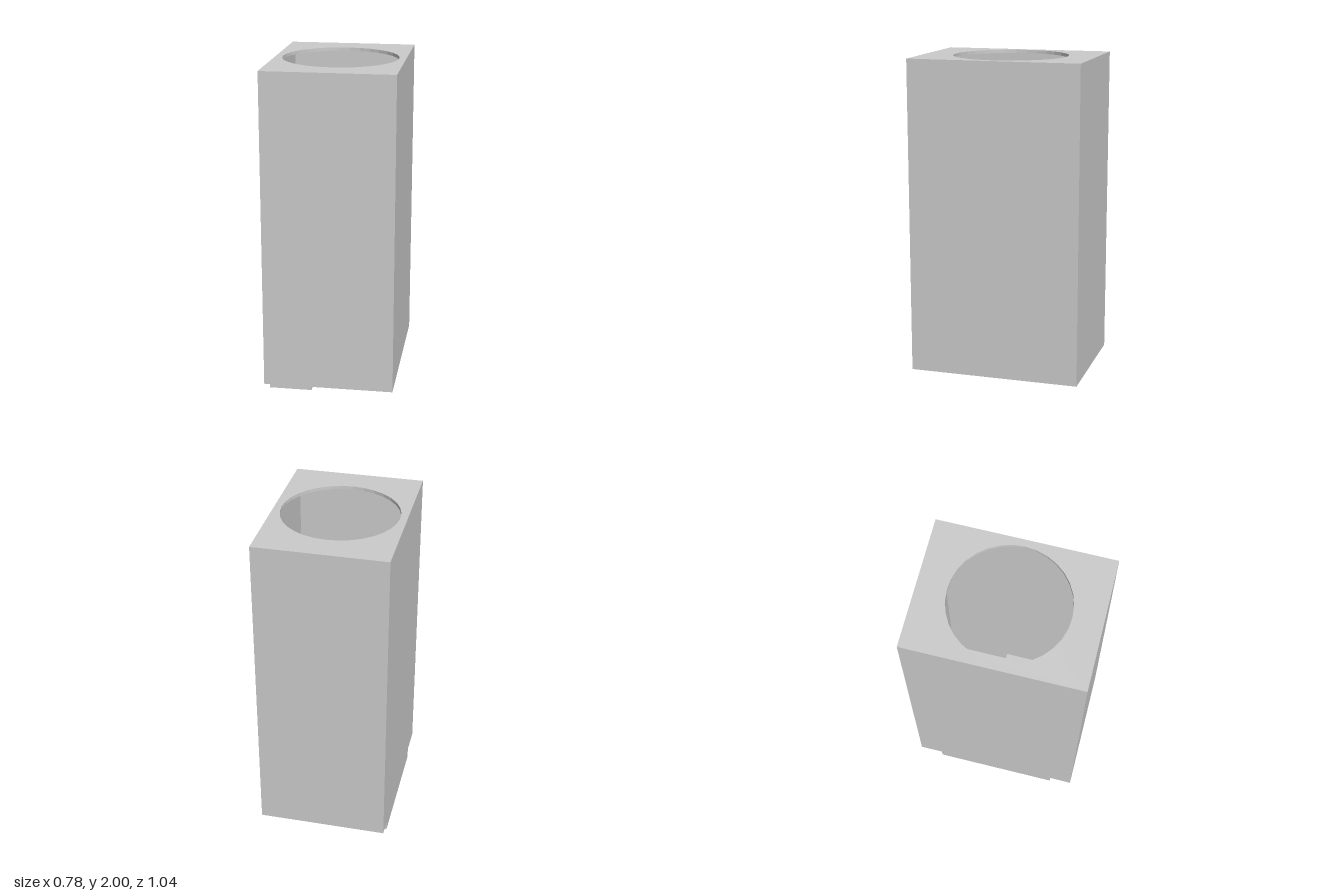
import * as THREE from 'three';

const W = 0.78, D = 1.04, TOP = 2, BASE = 0.09, T = 0.02, HOLE_R = 0.348;

export function createModel() {
  const model = new THREE.Group();
  const material = new THREE.MeshStandardMaterial({ color: 0xcccccc, flatShading: true });

  const add = (name, geometry, x = 0, y = 0, z = 0) => {
    const mesh = new THREE.Mesh(geometry, material);
    mesh.name = name;
    mesh.position.set(x, y, z);
    model.add(mesh);
    return mesh;
  };
  const rectangle = (Path, w, d) => new Path([
    new THREE.Vector2(-w / 2, -d / 2), new THREE.Vector2(w / 2, -d / 2),
    new THREE.Vector2(w / 2, d / 2), new THREE.Vector2(-w / 2, d / 2),
  ]);
  // Extrude a plan outline upwards, with y as the height
  const slab = (hole, height) => {
    const shape = rectangle(THREE.Shape, W, D);
    shape.holes.push(hole);
    return new THREE.ExtrudeGeometry(shape, { depth: height, bevelEnabled: false })
      .rotateX(-Math.PI / 2);
  };

  // Hollow shell: floor, thin walls and a lid plate with a round opening
  add('floor', new THREE.BoxGeometry(W, T, D), 0, BASE + T / 2, 0);
  add('walls', slab(rectangle(THREE.Path, W - 2 * T, D - 2 * T), TOP - BASE - 2 * T), 0, BASE + T, 0);
  const opening = new THREE.Path(Array.from({ length: 32 }, (_, i) => {
    const a = i / 32 * Math.PI * 2;
    return new THREE.Vector2(HOLE_R * Math.cos(a), HOLE_R * Math.sin(a));
  }));
  add('lidPlate', slab(opening, T), 0, TOP - T, 0);

  // Foot along one side, reaching just through the floor
  add('foot', new THREE.BoxGeometry(0.26, 0.14, 0.76), -0.255, 0.07, 0);

  // Small block inside, against the opposite wall
  add('innerBlock', new THREE.BoxGeometry(0.205, 0.09, 0.22), 0.2675, BASE + T + 0.045, 0);

  return model;
}
